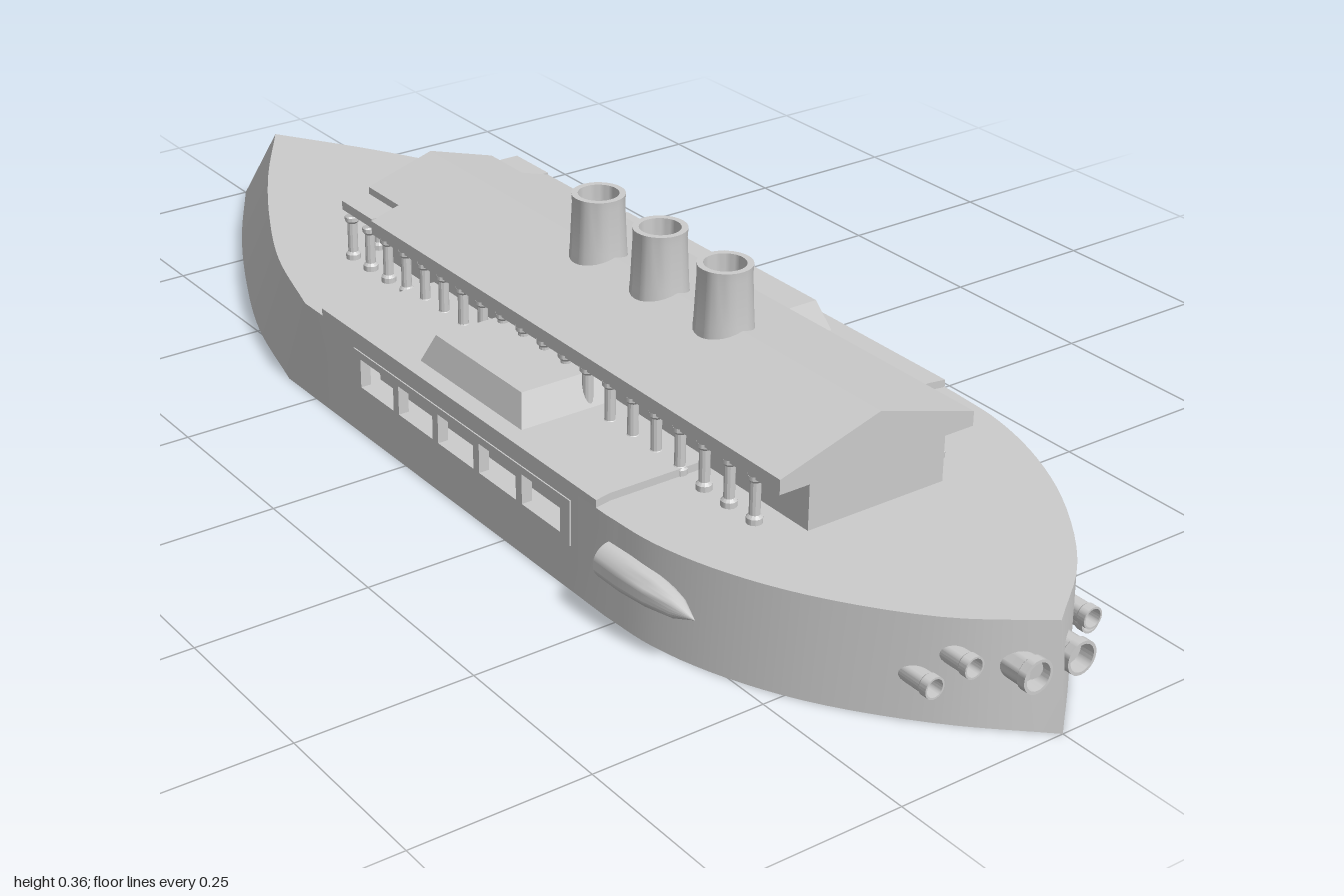
import * as THREE from 'three';
import { toCreasedNormals } from 'three/addons/utils/BufferGeometryUtils.js';

const material = new THREE.MeshStandardMaterial({ color: 0xcccccc, side: THREE.DoubleSide });
const DECK = 0.147, BEAM = 0.29, MID_DECK = 0.158;

function add(parent, name, geometry, x = 0, y = 0, z = 0) {
  const mesh = new THREE.Mesh(geometry, material);
  mesh.name = name;
  mesh.position.set(x, y, z);
  parent.add(mesh);
  return mesh;
}

// Box given by its min and max corners
function block(parent, name, x0, x1, y0, y1, z0, z1) {
  return add(parent, name, new THREE.BoxGeometry(x1 - x0, y1 - y0, z1 - z0),
    (x0 + x1) / 2, (y0 + y1) / 2, (z0 + z1) / 2);
}

// Half outline [x, z] smoothed, then mirrored into a ring that passes the tip
function outline(start, points) {
  const curve = new THREE.CatmullRomCurve3(points.map(([x, z]) => new THREE.Vector3(x, 0, z)));
  const half = [[BEAM, start], ...curve.getPoints(24).map(p => [p.x, p.z])];
  return [...half, ...half.slice(0, -1).reverse().map(([x, z]) => [-x, z])];
}

// Hull end lofted from a bottom ring to a deck ring, both clockwise from above
function hullEnd(bottom, top) {
  const n = bottom.length, pos = [], index = [];
  bottom.forEach(([x, z]) => pos.push(x, 0, z));
  top.forEach(([x, z]) => pos.push(x, DECK, z));
  pos.push(0, 0, bottom[0][1], 0, DECK, top[0][1]);
  for (let i = 0; i < n - 1; i++) {
    index.push(i, n + i, i + 1, i + 1, n + i, n + i + 1);
    index.push(2 * n, i, i + 1, 2 * n + 1, n + i + 1, n + i);
  }
  const g = new THREE.BufferGeometry();
  g.setAttribute('position', new THREE.Float32BufferAttribute(pos, 3));
  g.setIndex(index);
  return toCreasedNormals(g, 0.45);
}

// Cross-section in x, y run along z
function prism(points, z0, z1) {
  const shape = new THREE.Shape(points.map(([x, y]) => new THREE.Vector2(x, y)));
  return new THREE.ExtrudeGeometry(shape, { depth: z1 - z0, bevelEnabled: false }).translate(0, 0, z0);
}

function lathe(points, sides = 24) {
  const g = new THREE.LatheGeometry(points.map(([r, y]) => new THREE.Vector2(r, y)), sides);
  return toCreasedNormals(g, 0.6);
}

export function createModel() {
  const ship = new THREE.Group();
  ship.name = 'steamship';

  // Hull: curved bow, raked pointed stern and a middle with recessed galleries
  const hull = new THREE.Group();
  hull.name = 'hull';
  ship.add(hull);
  const bow = tip => outline(0.4, [[BEAM, 0.48], [0.283, 0.57], [0.255, 0.67], [0.2, 0.78], [0.106, 0.9], [0, tip]]);
  add(hull, 'bow', hullEnd(bow(1), bow(0.982)));
  const stern = (z, tip) => outline(-0.13, [[BEAM, z], [0.245, z + (tip - z) * 0.26],
    [0.18, z + (tip - z) * 0.5], [0.098, z + (tip - z) * 0.75], [0, tip]]).reverse();
  add(hull, 'stern', hullEnd(stern(-0.33, -1), stern(-0.27, -0.88)));
  block(hull, 'lowerHull', -BEAM, BEAM, 0, 0.07, -0.13, 0.4);
  block(hull, 'upperHull', -BEAM, BEAM, 0.128, DECK, -0.13, 0.4);
  block(hull, 'galleryBackWall', -0.25, 0.25, 0.07, 0.128, -0.13, 0.4);

  // Raised middle deck with chamfered corners
  const b = BEAM, deckPlan = [[-b, -0.46], [-0.265, -0.455], [0.265, -0.455], [b, -0.46],
    [b, 0.22], [0.265, 0.205], [-0.265, 0.205], [-b, 0.22]];
  add(ship, 'middleDeck', prism(deckPlan, 0, MID_DECK - DECK).rotateX(-Math.PI / 2), 0, DECK, 0);

  for (const side of [1, -1]) {
    // Gallery frame and window posts
    const frame = new THREE.Shape([[-0.13, 0.066], [0.405, 0.066], [0.405, 0.132], [-0.13, 0.132]]
      .map(([z, y]) => new THREE.Vector2(-z, y)));
    for (let i = 0; i < 5; i++) {
      const z0 = -0.112 + i * 0.102, z1 = z0 + 0.088;
      frame.holes.push(new THREE.Path([[z0, 0.077], [z1, 0.077], [z1, 0.121], [z0, 0.121]]
        .map(([z, y]) => new THREE.Vector2(-z, y))));
    }
    const frameGeometry = new THREE.ExtrudeGeometry(frame, { depth: 0.016, bevelEnabled: false });
    add(hull, 'galleryFrame', frameGeometry.rotateY(Math.PI / 2), side * 0.284 - 0.008, 0, 0);

    // Tapered side pod, blunt towards the stern
    const pod = lathe([[0, 0], [0.019, 0], [0.026, 0.004], [0.026, 0.05], [0.022, 0.1], [0.014, 0.145], [0, 0.18]]);
    add(hull, 'sidePod', pod.rotateX(Math.PI / 2), side * 0.288, 0.086, 0.483);

    // Hollow bow tubes: x, y, radius, front z
    for (const [x, y, r, z] of [[0.035, 0.085, 0.023, 0.987], [0.095, 0.096, 0.015, 0.943], [0.126, 0.063, 0.015, 0.912]]) {
      const tube = lathe([[r * 0.9, -0.08], [r * 0.9, -0.014], [r, -0.012], [r, 0],
        [r * 0.82, 0], [r * 0.78, -0.02], [0, -0.02]]);
      add(hull, 'bowTube', tube.rotateX(Math.PI / 2), side * x, y, z);
    }

    // Deck locker with sloped sides
    const locker = new THREE.BoxGeometry(0.16, 0.044, 0.25);
    const p = locker.attributes.position;
    for (let i = 0; i < p.count; i++) if (p.getY(i) > 0) {
      if (p.getX(i) * side > 0) p.setX(i, p.getX(i) - side * 0.014);
      p.setZ(i, p.getZ(i) * 0.84);
    }
    locker.computeVertexNormals();
    add(ship, 'deckLocker', locker, side * 0.183, 0.179, 0.128);

    // Eave corner plate at the stern end of the roof
    block(ship, 'roofCornerPlate', Math.min(side * 0.11, side * 0.157), Math.max(side * 0.11, side * 0.157),
      0.222, 0.236, -0.385, -0.3);
  }

  // Deckhouse and gabled roof
  block(ship, 'deckhouse', -0.11, 0.11, DECK, 0.22, -0.33, 0.655);
  add(ship, 'roof', prism([[-0.157, 0.212], [0.157, 0.212], [0.157, 0.233], [0, 0.28], [-0.157, 0.233]], -0.3, 0.655));
  add(ship, 'roofSternEnd', prism([[-0.11, 0.212], [0.11, 0.212], [0.11, 0.247], [0, 0.28], [-0.11, 0.247]], -0.385, -0.3));

  // Columns along both sides and across the stern end
  const column = lathe([[0.011, 0], [0.011, 0.008], [0.0075, 0.012], [0.0075, 0.058], [0.011, 0.062], [0.011, 0.068]], 12);
  const spots = [];
  for (let i = 0; i < 20; i++) for (const x of [-0.15, 0.15]) spots.push([x, 0.6 - i * 0.051]);
  for (const x of [-0.1, -0.035, 0.035, 0.1]) spots.push([x, -0.378]);
  for (const [x, z] of spots) add(ship, 'column', column, x, DECK, z);

  // Three hollow funnels
  const funnel = lathe([[0.043, 0.25], [0.04, 0.285], [0.037, 0.35], [0.038, 0.363],
    [0.029, 0.363], [0.028, 0.31], [0, 0.31]], 28);
  for (const z of [0.055, 0.198, 0.34]) add(ship, 'funnel', funnel, 0, 0, z);

  return ship;
}
